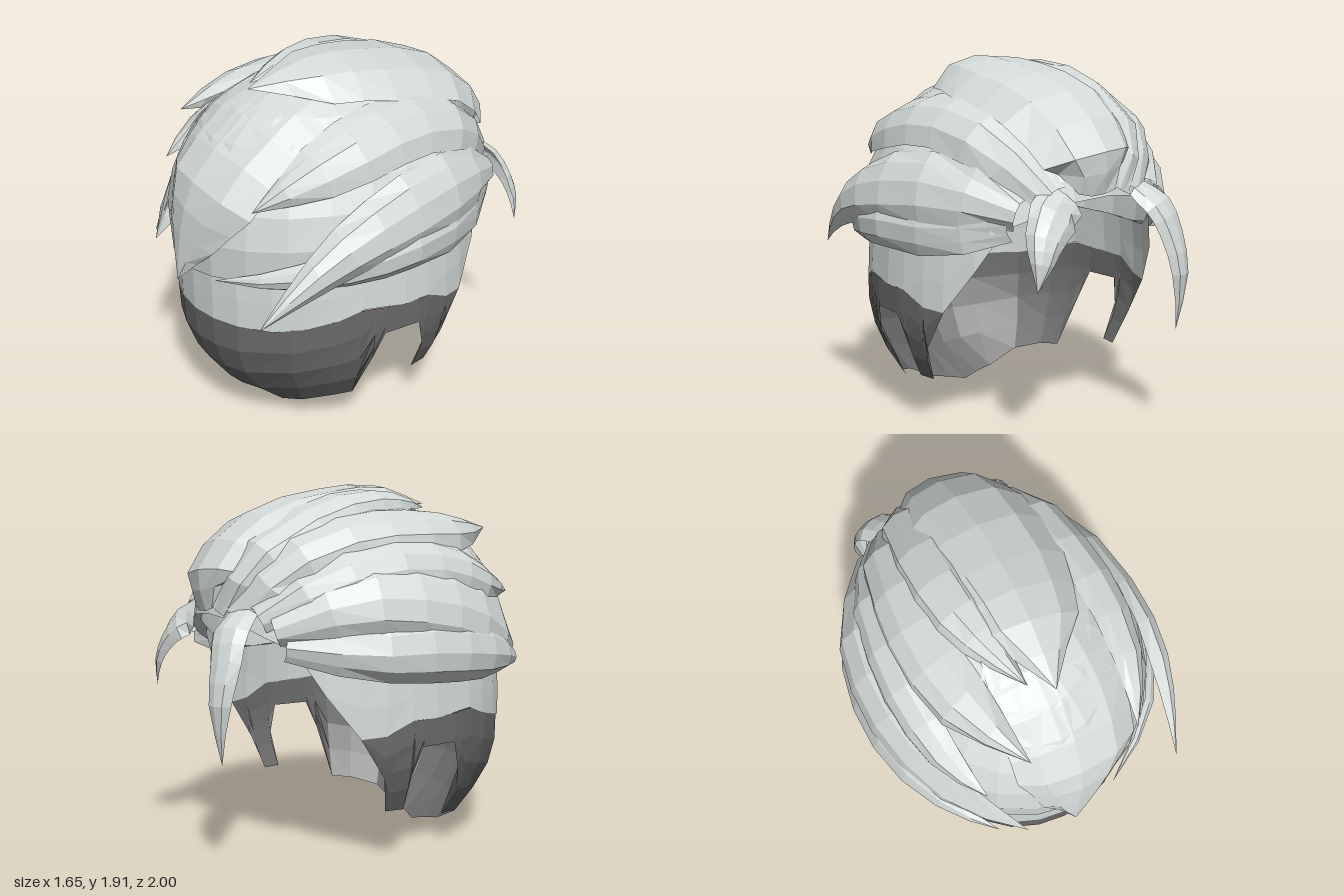
import * as THREE from 'three';

const hairMat = new THREE.MeshStandardMaterial({ color: 0xd3dad8, flatShading: true, side: THREE.DoubleSide });
hairMat.name = 'silver hair';
const darkMat = new THREE.MeshStandardMaterial({ color: 0x6a6a6a, flatShading: true, side: THREE.DoubleSide });
darkMat.name = 'dark undercut';

const rad = Math.PI / 180, ZC = 0.05;

// piecewise linear lookup in a list of [x, value]
function lin(table, x) {
  if (x <= table[0][0]) return table[0][1];
  for (let i = 1; i < table.length; i++) {
    const [a, va] = table[i - 1], [b, vb] = table[i];
    if (x <= b) return va + (vb - va) * (x - a) / (b - a);
  }
  return table[table.length - 1][1];
}

// surface through columns of points, each running bottom to top
function sheet(columns) {
  const n = columns[0].length, pos = [], idx = [];
  columns.forEach(c => c.forEach(p => pos.push(p.x, p.y, p.z)));
  for (let i = 0; i < columns.length - 1; i++)
    for (let j = 0; j < n - 1; j++) {
      const a = i * n + j, b = a + n;
      idx.push(a, b, b + 1, a, b + 1, a + 1);
    }
  const g = new THREE.BufferGeometry();
  g.setAttribute('position', new THREE.Float32BufferAttribute(pos, 3));
  g.setIndex(idx);
  const flat = g.toNonIndexed();
  flat.computeVertexNormals();
  return flat;
}

// half width and half depth of the head and of the hair dome by height
const headW = [[0, .47], [.1, .51], [.17, .56], [.25, .62], [.4, .69], [.55, .73], [.75, .735], [.95, .72], [1.2, .7]];
const headD = [[0, .43], [.1, .62], [.37, .82], [.52, .86], [.9, .86], [1.2, .84]];
const capW = [[.9, .73], [1.05, .77], [1.2, .76], [1.4, .69], [1.55, .58], [1.68, .45], [1.78, .28], [1.84, 0]];
const capD = [[.9, .89], [1.1, .9], [1.35, .85], [1.5, .76], [1.6, .68], [1.7, .54], [1.78, .36], [1.84, 0]];
const onRing = (w, d, deg, y) =>
  new THREE.Vector3(lin(w, y) * Math.sin(deg * rad), y, ZC + lin(d, y) * Math.cos(deg * rad));

// one half from angle/height pairs, mirrored to the full turn
const mirrored = half => [...half.slice(1).reverse().map(([a, y]) => [-a, y]), ...half];

// lower edge with neck point, ear cut-out and sideburn
const hem = mirrored([[0, 0], [12, .02], [24, .04], [45, .12], [60, .16], [70, .17], [75, .45], [79, .6],
  [93, .6], [96.5, .45], [97, .26], [105, .26], [107, .45], [116, .66]]);
// border between dark and light hair
const fade = [[0, .655], [38, .655], [50, .68], [62, .72], [71, .765], [87, .74], [97, .74], [102, .71], [107, .67],
  [116, .66], [128, .88], [139, 1.1]];
// lower edge of the dome, rising over the open face
const hairline = [[0, .9], [30, .94], [60, .97], [115, .95], [140, 1.12], [165, 1.24], [180, 1.26]];

function undercut() {
  return sheet(hem.map(([a, y0]) => {
    const y1 = Math.max(lin(fade, Math.abs(a)), y0);
    return [0, .25, .5, .75, 1].map(t => onRing(headW, headD, a, y0 + (y1 - y0) * t));
  }));
}

function band() {
  const angles = [0, 12, 24, 38, 50, 62, 71, 87, 97, 107, 116, 128, 139].map(a => [a, 0]);
  return sheet(mirrored(angles).map(([a]) => {
    const y0 = lin(fade, Math.abs(a)), y1 = lin(hairline, Math.abs(a)) + .02;
    return [0, .5, 1].map(t => onRing(headW, headD, a, y0 + (y1 - y0) * t));
  }));
}

// dome under the locks, with a ledge back to the head along its lower edge
function dome() {
  const cols = [];
  for (let a = -180; a <= 180; a += 15) {
    const y0 = lin(hairline, Math.abs(a)), col = [onRing(headW, headD, a, y0 + .02)];
    for (let j = 0; j <= 8; j++) col.push(onRing(capW, capD, a, y0 + (1.84 - y0) * Math.sin(j / 8 * Math.PI / 2)));
    cols.push(col);
  }
  return sheet(cols);
}

// move a point outwards until it lies on the dome
const heart = new THREE.Vector3(0, 1, ZC);
function liftToDome(p) {
  while (p.y < 1.84 && Math.hypot(p.x / lin(capW, p.y), (p.z - ZC) / lin(capD, p.y)) < 1)
    p.sub(heart).multiplyScalar(1.01).add(heart);
  return p;
}

// faceted lock along a path: points are [x, y, z, half width]
function lock(points, thick = .07, segments = 8) {
  const curve = new THREE.CatmullRomCurve3(points.map(p => new THREE.Vector3(p[0], p[1], p[2])));
  const widths = points.map((p, i) => [i / (points.length - 1), p[3]]);
  const maxW = Math.max(...points.map(p => p[3])), rings = [];
  for (let i = 0; i <= segments; i++) {
    const t = i / segments, p = curve.getPoint(t), w = lin(widths, t);
    const out = p.clone().sub(new THREE.Vector3(0, 1, 0)).normalize();
    const side = curve.getTangent(t).cross(out).normalize();
    out.crossVectors(side, curve.getTangent(t)).normalize();
    const h = thick * Math.min(1, 1.5 * w / maxW);
    const profile = [[-1, -1], [-.55, -.2], [.1, 0], [.65, -.25], [1, -1]];
    rings.push(profile.map(([u, v]) => liftToDome(p.clone().addScaledVector(side, u * w).addScaledVector(out, v * h))));
  }
  return sheet(rings);
}

const locks = {
  crownLock: [[[.04, 1.27, -.82, .12], [.07, 1.48, -.85, .27], [.1, 1.76, -.56, .33], [.12, 1.88, -.1, .33],
    [.1, 1.9, .25, .26], [.05, 1.8, .58, 0]], .13, 10],
  crownSideLock: [[[-.1, 1.27, -.81, .06], [-.2, 1.55, -.75, .15], [-.24, 1.81, -.34, .17], [-.22, 1.88, 0, .16],
    [-.16, 1.86, .25, .1], [-.06, 1.78, .5, 0]], .1],
  backCentreLock: [[[.1, 1.79, .3, .28], [.1, 1.66, .62, .35], [.08, 1.38, .91, .34], [.03, 1.1, .98, .19], [0, .85, 1, 0]], .11],
  rightUpperLock: [[[-.2, 1.27, -.8, .08], [-.37, 1.56, -.62, .17], [-.45, 1.72, -.22, .18], [-.46, 1.74, .15, .18],
    [-.38, 1.72, .5, .15], [-.2, 1.67, .82, 0]], .1],
  rightMiddleLock: [[[-.37, 1.28, -.75, .08], [-.55, 1.5, -.45, .15], [-.63, 1.58, 0, .14], [-.62, 1.53, .35, .14],
    [-.55, 1.42, .62, .1], [-.42, 1.33, .8, 0]], .1],
  rightLowerLock: [[[-.46, 1.22, -.71, .08], [-.7, 1.37, -.35, .18], [-.77, 1.36, .03, .2], [-.72, 1.27, .4, .2],
    [-.54, 1.1, .75, .18], [-.27, .96, .97, 0]], .1],
  rightBottomRoll: [[[-.5, 1.13, -.66, .07], [-.75, 1.1, -.32, .14], [-.825, 1.1, .06, .17], [-.77, 1.06, .42, .15],
    [-.6, 1, .72, .08], [-.4, .94, .9, 0]], .09],
  leftUpperLock: [[[.32, 1.29, -.77, .08], [.48, 1.56, -.5, .17], [.55, 1.66, -.1, .17], [.58, 1.62, .25, .17],
    [.54, 1.5, .58, .12], [.42, 1.33, .81, 0]], .12],
  leftLowerLock: [[[.48, 1.2, -.7, .08], [.7, 1.3, -.33, .18], [.8, 1.27, .12, .19], [.8, 1.18, .45, .14],
    [.74, 1.03, .7, .08], [.65, .83, .93, 0]], .09],
  leftBottomRoll: [[[.5, 1.13, -.65, .07], [.71, 1.08, -.32, .13], [.82, 1.08, .12, .13], [.76, 1.04, .42, .11],
    [.58, .98, .72, .07], [.25, .93, .93, 0]], .08],
  // strands hanging over the open face
  longFringe: [[[-.24, 1.3, -.77, .1], [-.3, 1.22, -.89, .12], [-.35, 1.06, -.95, .1], [-.37, .85, -.99, .07], [-.35, .55, -.94, 0]], .05],
  shortFringe: [[[.22, 1.27, -.76, .11], [.33, 1.21, -.84, .13], [.42, 1.1, -.88, .1], [.46, .98, -.9, .06], [.48, .84, -.88, 0]], .05],
};

export function createModel() {
  const group = new THREE.Group();
  group.name = 'hairstyle';
  const add = (name, geometry, material) => {
    const mesh = new THREE.Mesh(geometry, material);
    mesh.name = name;
    group.add(mesh);
  };
  add('undercut', undercut(), darkMat);
  add('fadeBand', band(), hairMat);
  add('hairDome', dome(), hairMat);
  for (const [name, args] of Object.entries(locks)) add(name, lock(...args), hairMat);
  return group;
}
